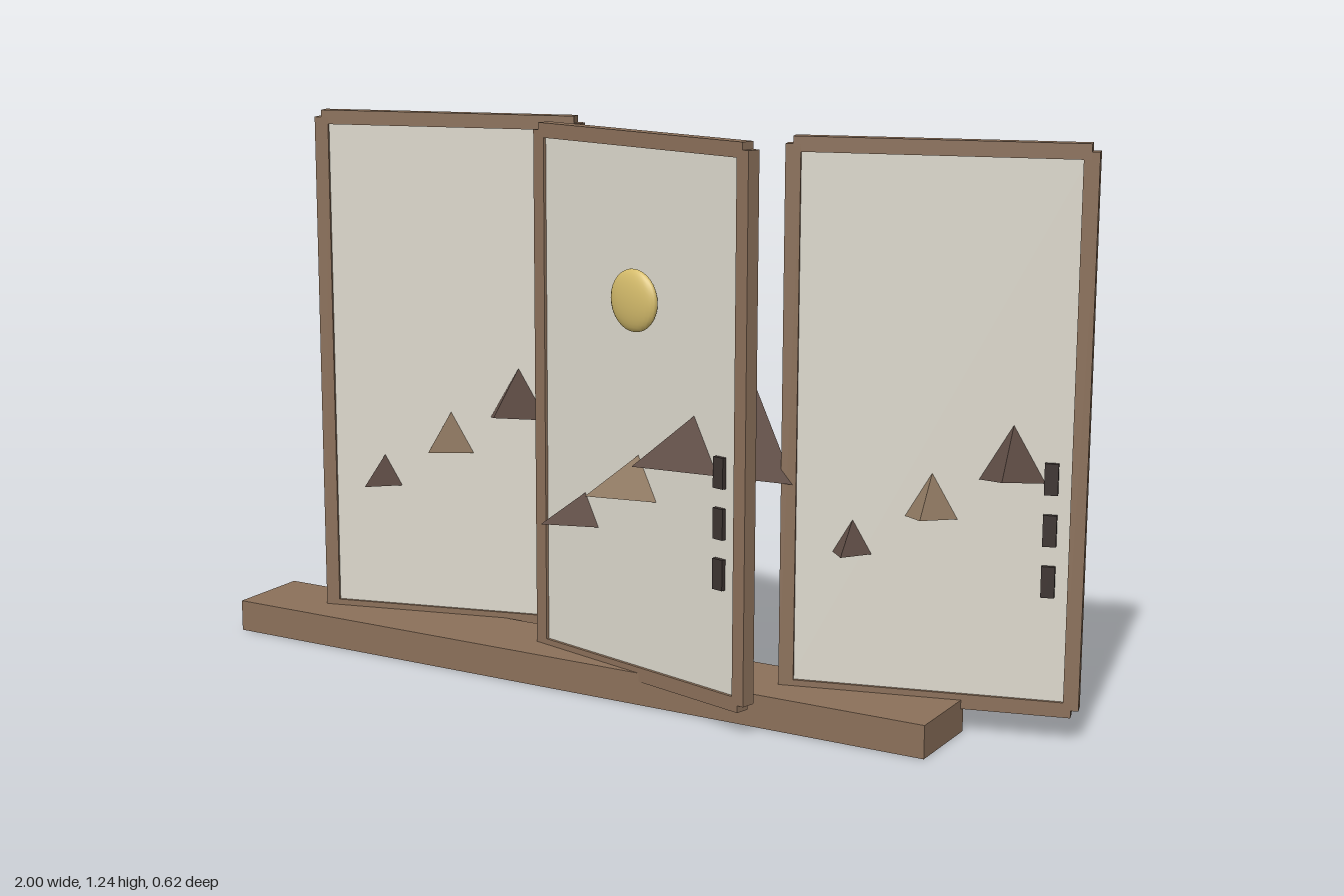
import * as THREE from 'three';

const mat = (color, flatShading = true) => new THREE.MeshStandardMaterial({ color, flatShading });
const wood = mat(0x8b705a);
const paper = mat(0xdcd8cc);
const darkRock = mat(0x66534b);
const paleRock = mat(0x9a8269);
const gold = mat(0xd6bd6c, false);
const ink = mat(0x3d3431);

function add(parent, name, geometry, material, x, y, z) {
  const mesh = new THREE.Mesh(geometry, material);
  mesh.name = name;
  mesh.position.set(x, y, z);
  parent.add(mesh);
  return mesh;
}

// Three-sided peak lying on its side, tip towards +z, one edge upwards
function peakGeometry(radius, length) {
  return new THREE.ConeGeometry(radius, length, 3).rotateX(Math.PI / 2).rotateZ(Math.PI);
}

// One framed leaf of the folding screen with its peaks and ink marks
function createLeaf() {
  const leaf = new THREE.Group();
  const width = 0.6, height = 1.154, midY = 0.646, bar = 0.032;

  add(leaf, 'paperPanel', new THREE.BoxGeometry(width, height, 0.018), paper, 0, midY, 0);
  for (const s of [-1, 1]) {
    add(leaf, 'frameStile', new THREE.BoxGeometry(bar, height, bar), wood, s * width / 2, midY, 0);
    add(leaf, 'frameRail', new THREE.BoxGeometry(width, bar, bar), wood, 0, midY + s * height / 2, 0);
  }

  // Peaks pierce the panel and grow from one side to the other
  for (let i = 0; i < 3; i++) {
    add(leaf, 'mountainPeak', peakGeometry(0.09 + 0.03 * i, 0.25 + 0.05 * i),
      i === 1 ? paleRock : darkRock, (i - 1) * 0.164, 0.395 + 0.095 * i, 0.016);
  }

  // Column of ink marks
  for (let i = 0; i < 3; i++) {
    add(leaf, 'inkMark', new THREE.BoxGeometry(0.028, 0.066, 0.01), ink, 0.244, 0.341 + 0.108 * i, 0.016);
  }
  return leaf;
}

export function createModel() {
  const model = new THREE.Group();
  model.name = 'foldingScreen';

  add(model, 'base', new THREE.BoxGeometry(1.765, 0.072, 0.2), wood, -0.1175, 0.036, 0);

  // Leaves fold in alternating directions
  ['rightLeaf', 'middleLeaf', 'leftLeaf'].forEach((name, i) => {
    const fold = i === 1 ? -1 : 1;
    const leaf = createLeaf();
    leaf.name = name;
    leaf.position.set(-0.51 + 0.6 * i, 0, -0.0825 * fold);
    leaf.rotation.y = 0.262 * fold;
    model.add(leaf);

    // Flattened sun on the middle leaf
    if (i === 1) {
      const sun = add(leaf, 'sun', new THREE.SphereGeometry(0.067, 24, 16), gold, 0, 0.887, 0.022);
      sun.scale.z = 0.3;
    }
  });
  return model;
}
